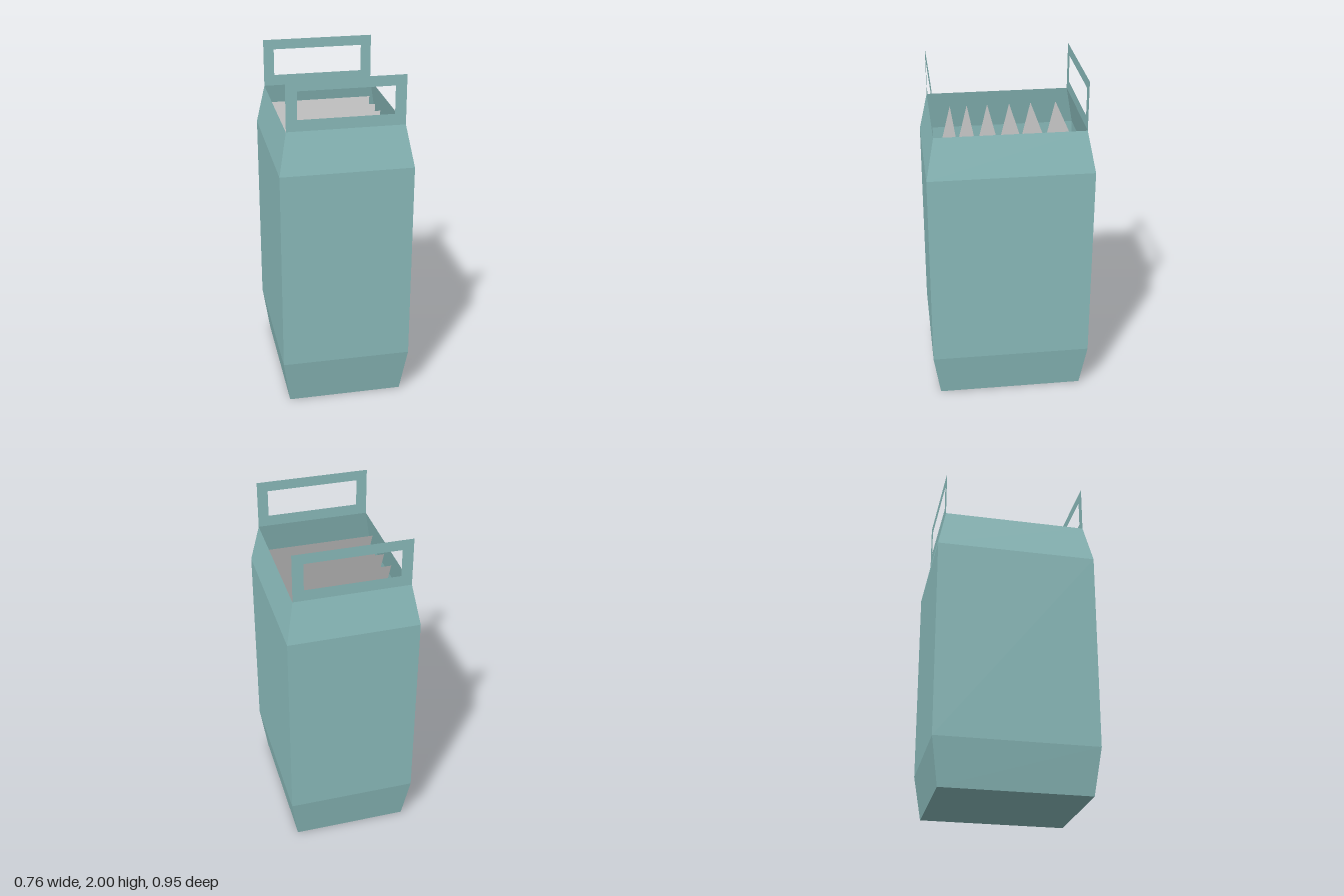
import * as THREE from 'three';

const bagMaterial = new THREE.MeshStandardMaterial({ color: 0x8cbdbd, flatShading: true, side: THREE.DoubleSide });
const sheetMaterial = new THREE.MeshStandardMaterial({ color: 0xcccccc, flatShading: true, side: THREE.DoubleSide });

// Open-topped rectangular shell lofted through [y, halfWidth, halfDepth] sections
function bagGeometry(sections) {
  const corners = [[1, 1], [1, -1], [-1, -1], [-1, 1]];
  const positions = [];
  const indices = [];
  for (const [y, w, d] of sections) {
    for (const [sx, sz] of corners) positions.push(sx * w, y, sz * d);
  }
  for (let s = 0; s < sections.length - 1; s++) {
    for (let c = 0; c < 4; c++) {
      const a = s * 4 + c;
      const b = s * 4 + (c + 1) % 4;
      indices.push(a, b, b + 4, a, b + 4, a + 4);
    }
  }
  indices.push(0, 2, 1, 0, 3, 2); // floor
  const geometry = new THREE.BufferGeometry();
  geometry.setAttribute('position', new THREE.Float32BufferAttribute(positions, 3));
  geometry.setIndex(indices);
  const flat = geometry.toNonIndexed();
  flat.computeVertexNormals();
  return flat;
}

function polygon(points, Type = THREE.Shape) {
  return new Type(points.map(([x, y]) => new THREE.Vector2(x, y)));
}

function addMesh(group, name, geometry, material) {
  const mesh = new THREE.Mesh(geometry, material);
  mesh.name = name;
  group.add(mesh);
  return mesh;
}

export function createModel() {
  const group = new THREE.Group();
  group.name = 'bag';

  // Bag body, tapering at the base and the mouth
  addMesh(group, 'bagBody', bagGeometry([
    [0, 0.34, 0.435],
    [0.275, 0.38, 0.475],
    [1.475, 0.38, 0.475],
    [1.715, 0.333, 0.427],
  ]), bagMaterial);

  // Flat handles with a grip slot, rising from the front and back rims
  const handleShape = polygon([[-0.333, 1.715], [0.333, 1.715], [0.333, 2], [-0.333, 2]]);
  handleShape.holes.push(polygon([[-0.27, 1.78], [-0.27, 1.94], [0.27, 1.94], [0.27, 1.78]], THREE.Path));
  const handleGeometry = new THREE.ShapeGeometry(handleShape);
  for (const [name, side] of [['frontHandle', 1], ['backHandle', -1]]) {
    const handle = addMesh(group, name, handleGeometry, bagMaterial);
    handle.position.z = side * 0.427;
    if (side < 0) handle.rotation.y = Math.PI;
  }

  // Tapered sheets inside, hung from their top edge and leaning back
  const drop = 0.38;
  const lean = 0.098;
  const sheetGeometry = new THREE.ShapeGeometry(polygon([
    [-0.3, -Math.hypot(drop, lean)], [0.275, -Math.hypot(drop, lean)], [0.313, 0], [-0.335, 0],
  ]));
  sheetGeometry.rotateX(-Math.atan2(lean, drop));
  [-0.36, -0.205, -0.073, 0.062, 0.187, 0.29].forEach((z, i) => {
    addMesh(group, `sheet${i + 1}`, sheetGeometry, sheetMaterial).position.set(0, 1.63, z);
  });

  return group;
}
